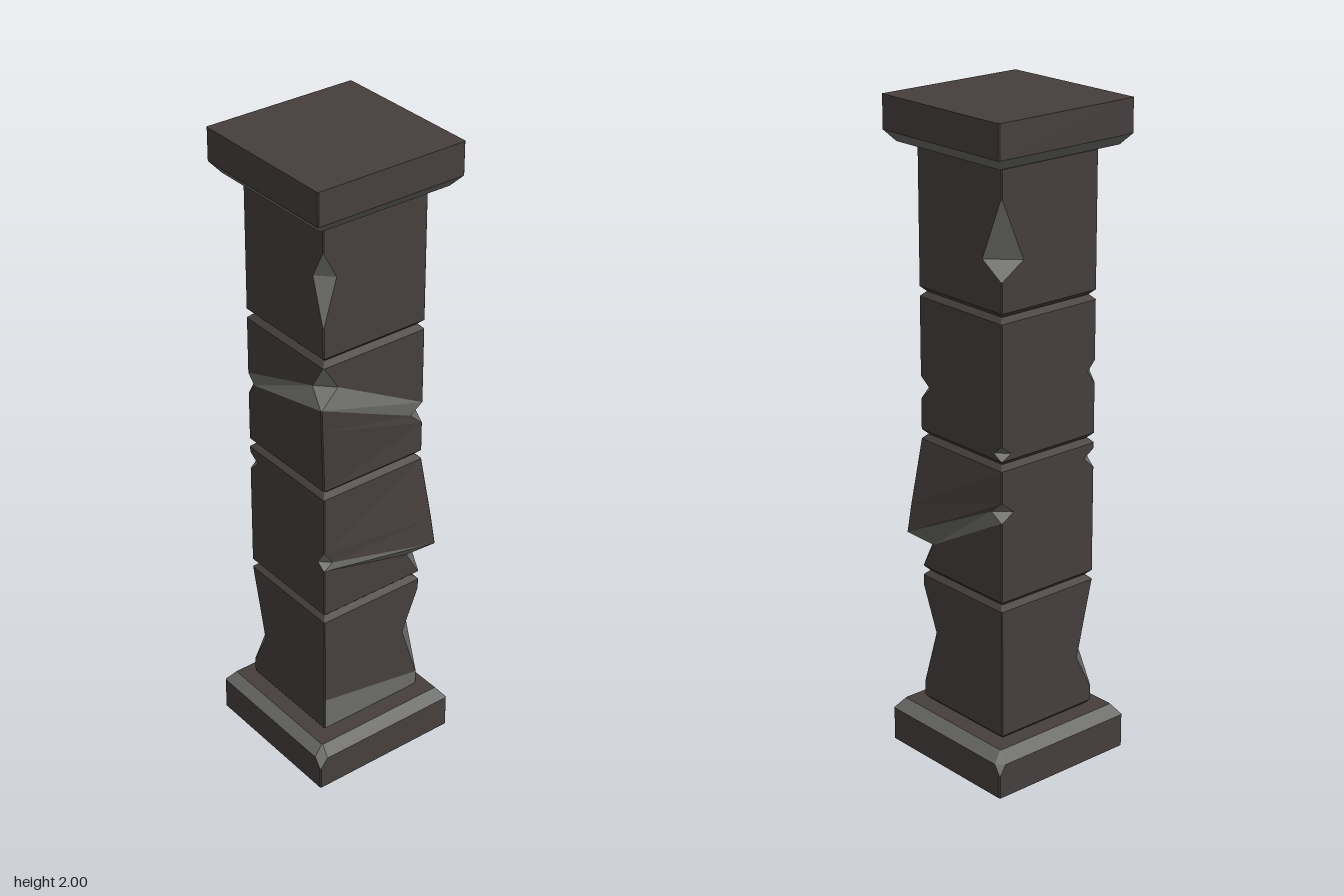
import * as THREE from 'three';

const darkStone = new THREE.MeshStandardMaterial({ color: 0x463e3d, flatShading: true });
darkStone.name = 'dark stone';
const chippedStone = new THREE.MeshStandardMaterial({ color: 0x6b6b69, flatShading: true });
chippedStone.name = 'chipped stone';

const SHARP = 0.003; // corner cut of an undamaged edge

// Square stone from four corner columns, ordered (+x+z), (+x-z), (-x-z), (-x+z).
// Every column point is [height, corner cut, outward offset].
function stone(name, half, columns, isWorn = () => false) {
  const rows = columns[0].length;
  const rings = [];
  for (let r = 0; r < rows; r++) {
    const ring = [];
    columns.forEach((column, k) => {
      const [y, cut, out] = column[r];
      const e = half + out;
      for (let [x, z] of [[e - cut, e], [e, e - cut]]) {
        for (let t = 0; t < k; t++) [x, z] = [z, -x];
        ring.push(new THREE.Vector3(x, y, z));
      }
    });
    rings.push(ring);
  }

  const plain = [], worn = [];
  const tri = (list, ...points) => points.forEach((p) => list.push(p.x, p.y, p.z));
  const ledge = (a, b) => a[2] >= 0 && b[2] >= 0 && Math.abs(a[2] - b[2]) > 0.5 * Math.abs(a[0] - b[0]);

  for (let r = 0; r < rows - 1; r++) {
    for (let i = 0; i < 8; i++) {
      const j = (i + 1) % 8;
      const k = i >> 1, n = j >> 1;
      const lo = columns[k][r], hi = columns[k][r + 1];
      const steep = ledge(lo, hi) || ledge(columns[n][r], columns[n][r + 1]);
      const chip = i % 2 === 0 && Math.max(lo[1], hi[1]) > 0.015;
      const list = steep || chip || isWorn(r, i) ? worn : plain;
      tri(list, rings[r][i], rings[r][j], rings[r + 1][j]);
      tri(list, rings[r][i], rings[r + 1][j], rings[r + 1][i]);
    }
  }
  // closing faces
  const first = rings[0], last = rings[rows - 1];
  for (let i = 1; i < 7; i++) {
    tri(plain, first[0], first[i + 1], first[i]);
    tri(plain, last[0], last[i], last[i + 1]);
  }

  const geometry = new THREE.BufferGeometry();
  geometry.setAttribute('position', new THREE.Float32BufferAttribute([...plain, ...worn], 3));
  geometry.addGroup(0, plain.length / 3, 0);
  geometry.addGroup(plain.length / 3, worn.length / 3, 1);
  geometry.computeVertexNormals();
  const mesh = new THREE.Mesh(geometry, [darkStone, chippedStone]);
  mesh.name = name;
  return mesh;
}

// Shaft block: bevelled ends with three damage points on each corner
function shaftBlock(name, bottom, top, damage, isWorn) {
  const columns = damage.map((points) => [
    [bottom, SHARP, -0.015],
    [bottom + 0.015, SHARP, 0],
    ...points.map(([y, cut = SHARP, out = 0]) => [y, cut, out]),
    [top - 0.015, SHARP, 0],
    [top, SHARP, -0.015],
  ]);
  return stone(name, 0.178, columns, isWorn);
}

export function createModel() {
  const group = new THREE.Group();
  group.name = 'stonePillar';

  // Base plinth with two knocked corners, and the capital
  const baseCuts = [SHARP, 0.022, SHARP, 0.026];
  group.add(stone('basePlinth', 0.22, baseCuts.map((cut) => [
    [0, SHARP, 0.026], [0.075, SHARP, 0.026], [0.105, cut, 0.026], [0.14, SHARP, 0],
  ])));
  group.add(stone('capital', 0.22, baseCuts.map(() => [
    [1.868, SHARP, 0], [1.9, SHARP, 0.026], [2, SHARP, 0.026],
  ])));

  // Lowest block, with a worn strip along the foot of its front face
  group.add(shaftBlock('lowestBlock', 0.138, 0.568, [
    [[0.2], [0.38, 0.06], [0.52]],
    [[0.25], [0.35], [0.45]],
    [[0.2], [0.31, 0.06], [0.44, 0.03]],
    [[0.26], [0.38], [0.5]],
  ], (row, side) => row === 1 && side === 7));

  // Lower middle block, its front corner jutting out near the bottom
  group.add(shaftBlock('lowerMiddleBlock', 0.568, 1.002, [
    [[0.665, 0.05], [0.69, SHARP, 0.033], [0.78, SHARP, 0.024]],
    [[0.83], [0.855, 0.045], [0.89]],
    [[0.91], [0.945, 0.04], [0.97]],
    [[0.74], [0.76, 0.03], [0.8]],
  ]));

  // Upper middle block, its front corner jutting out near the top
  group.add(shaftBlock('upperMiddleBlock', 1.002, 1.435, [
    [[1.11], [1.15, 0.045], [1.18]],
    [[1.035, 0.035], [1.06], [1.3]],
    [[1.17], [1.21, 0.03], [1.24]],
    [[1.24, SHARP, 0.026], [1.315, SHARP, 0.034], [1.345, 0.05]],
  ]));

  // Top block with two deep edge chips
  group.add(shaftBlock('topBlock', 1.435, 1.868, [
    [[1.55], [1.65], [1.75]],
    [[1.54], [1.59, 0.08], [1.77]],
    [[1.55], [1.65], [1.75]],
    [[1.55], [1.69, 0.045], [1.77]],
  ]));

  return group;
}
